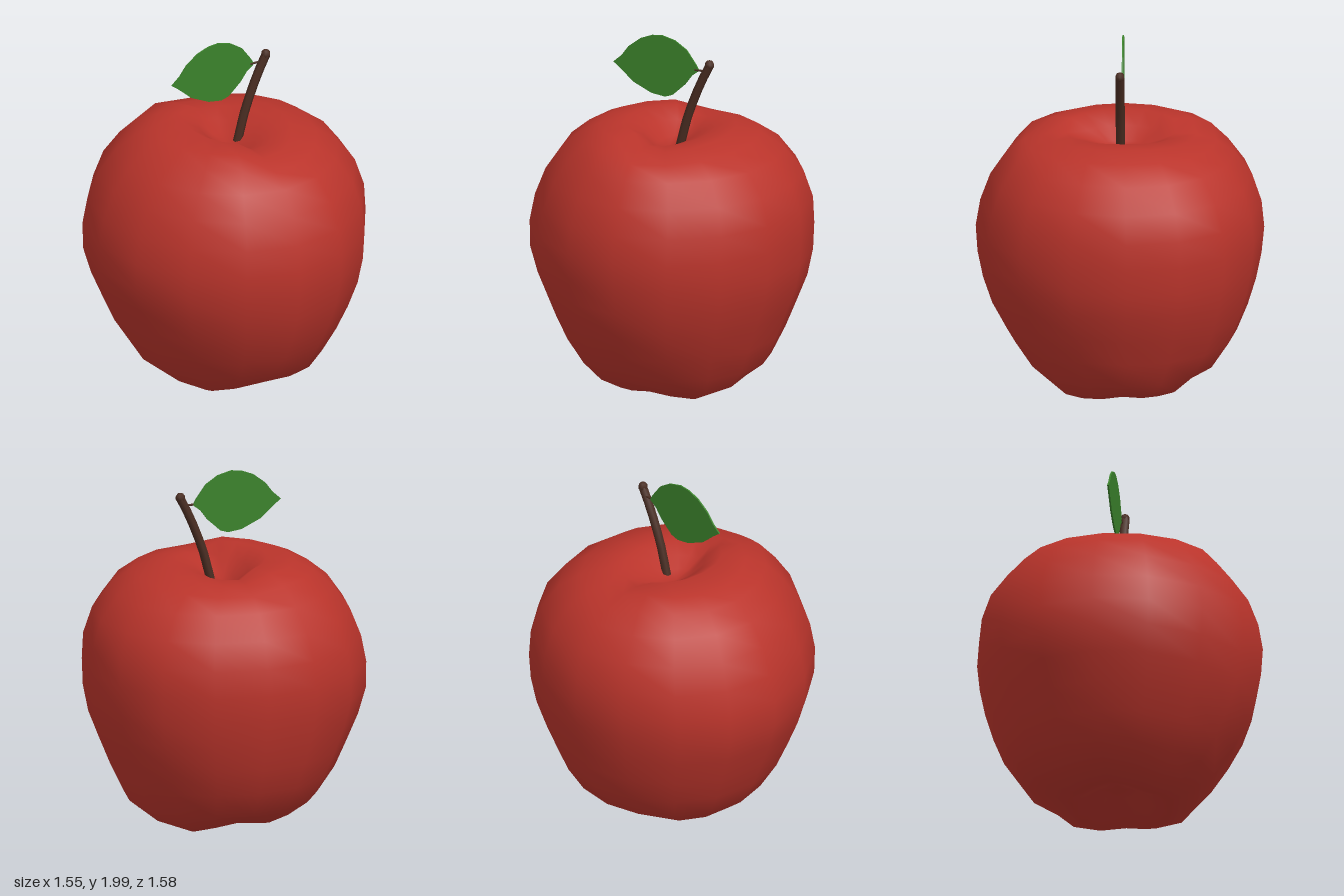
import * as THREE from 'three';
import { mergeVertices } from 'three/addons/utils/BufferGeometryUtils.js';

const skin = new THREE.MeshStandardMaterial({ color: 0xba342b });
skin.name = 'red skin';
const bark = new THREE.MeshStandardMaterial({ color: 0x4a2d22 });
bark.name = 'brown stem';
const green = new THREE.MeshStandardMaterial({ color: 0x3b822b });
green.name = 'green leaf';

// Cross-sections, bottom dimple to top dimple: height and reach to -x, +x, +z, -z
const RINGS = [
  [0.13, 0, 0, 0, 0], [0.11, 0.1, 0.1, 0.1, 0.1],
  [0.05, 0.2, 0.2, 0.18, 0.19], [0.015, 0.29, 0.32, 0.28, 0.27],
  [0.075, 0.41, 0.45, 0.4, 0.38], [0.18, 0.51, 0.55, 0.52, 0.54],
  [0.33, 0.605, 0.62, 0.62, 0.64], [0.48, 0.67, 0.68, 0.7, 0.7],
  [0.63, 0.735, 0.74, 0.75, 0.745], [0.78, 0.78, 0.77, 0.78, 0.775],
  [0.93, 0.78, 0.775, 0.79, 0.79], [1.08, 0.75, 0.77, 0.765, 0.775],
  [1.23, 0.69, 0.72, 0.71, 0.725], [1.36, 0.6, 0.62, 0.62, 0.63],
  [1.45, 0.49, 0.49, 0.53, 0.53], [1.485, 0.39, 0.35, 0.4, 0.42],
  [1.485, 0.23, 0.25, 0.29, 0.31], [1.44, 0.13, 0.14, 0.19, 0.23],
  [1.395, 0.06, 0.07, 0.1, 0.13], [1.375, 0, 0, 0, 0],
];
const SIDES = 16;

function bodyGeometry() {
  const points = [], index = [];
  RINGS.forEach(([y, left, right, front, back], i) => {
    for (let j = 0; j < SIDES; j++) {
      const a = (j / SIDES) * Math.PI * 2, c = Math.cos(a), s = Math.sin(a);
      const size = (left + right) / 1.55;
      let lift = 0, bulge = 1;
      // higher rim on the -x half of the top
      if (y > 1.4) {
        const inner = THREE.MathUtils.clamp((0.53 - size) * 5, 0, 1);
        lift = c < -0.01 ? 0.042 * inner * (1 - 0.6 * s * s) + 0.015 * s * s : -0.022 * s * s;
      }
      // lobes and notches underneath
      if (y < 0.15) {
        lift = 0.035 * Math.cos(2 * a) ** 2 + 0.02 * Math.max(0, -s) - 0.008;
        bulge = 1 + 0.11 * Math.sin(2 * a) ** 2 * Math.max(0, c);
      }
      lift *= Math.min(1, size * 3);
      points.push(
        c * bulge * (c > 0 ? right : left) + 0.02 * s * s * size,
        y + lift,
        s * bulge * (s > 0 ? front : back) - 0.045 * c * c * size
      );
      if (i === RINGS.length - 1) continue;
      const k = (j + 1) % SIDES, p = i * SIDES, q = p + SIDES;
      if (i < RINGS.length - 2) index.push(p + j, q + j, q + k);
      else index.push(p + j, q + j, p + k);
      if (i > 0 && i < RINGS.length - 2) index.push(p + j, q + k, p + k);
    }
  });
  const g = new THREE.BufferGeometry();
  g.setAttribute('position', new THREE.Float32BufferAttribute(points, 3));
  g.setIndex(index);
  const merged = mergeVertices(g);
  merged.computeVertexNormals();
  return merged;
}

function add(group, name, geometry, material) {
  const mesh = new THREE.Mesh(geometry, material);
  mesh.name = name;
  group.add(mesh);
  return mesh;
}

export function createModel() {
  const apple = new THREE.Group();
  apple.name = 'apple';
  add(apple, 'body', bodyGeometry(), skin);

  // Curved stem with a blunt, slightly thicker tip
  const path = new THREE.CatmullRomCurve3(
    [[0.062, 1.37], [0.085, 1.46], [0.112, 1.56], [0.185, 1.75], [0.245, 1.872]]
      .map(([x, y]) => new THREE.Vector3(x, y, -0.003))
  );
  add(apple, 'stem', new THREE.TubeGeometry(path, 6, 0.025, 6), bark);
  const tip = add(apple, 'stemTip', new THREE.SphereGeometry(0.028, 6, 5), bark);
  tip.position.set(0.243, 1.872, -0.003);

  // Short stalk joining leaf and stem
  const stalk = add(apple, 'leafStalk', new THREE.CylinderGeometry(0.006, 0.006, 0.07, 6), bark);
  stalk.rotation.z = Math.PI / 2;
  stalk.position.set(0.185, 1.828, -0.014);

  // Thin pointed leaf
  const outline = [
    [-0.34, 1.81], [-0.3, 1.78], [-0.22, 1.71], [-0.11, 1.66], [-0.03, 1.65], [0.015, 1.665],
    [0.09, 1.735], [0.13, 1.79], [0.175, 1.825], [0.155, 1.86], [0.1, 1.935], [0.03, 1.98],
    [-0.05, 2], [-0.11, 1.993], [-0.18, 1.965], [-0.25, 1.91], [-0.29, 1.855],
  ].map(([x, y]) => new THREE.Vector2(x, y));
  const leaf = add(apple, 'leaf', new THREE.ExtrudeGeometry(new THREE.Shape(outline), { depth: 0.009, bevelEnabled: false }), green);
  leaf.position.z = -0.02;

  return apple;
}
